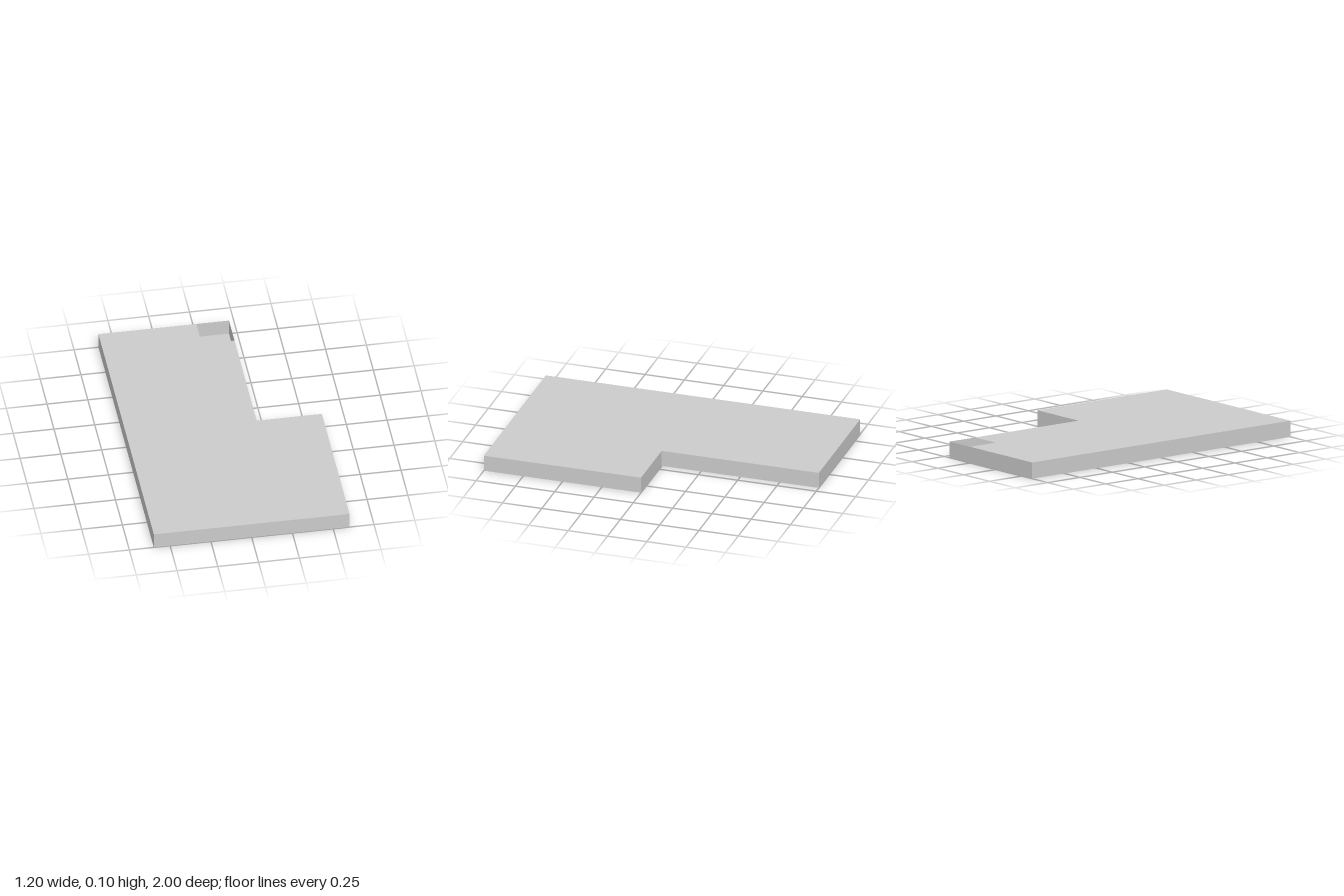
import * as THREE from 'three';

const HEIGHT = 0.1;

// Corners as [x, z], counter-clockwise seen from above
const OUTLINE = [[-0.6, 1], [0.6, 1], [0.6, 0], [0.2, 0], [0.2, -1], [-0.6, -1]];
const LID = [[-0.6, 1], [0.6, 1], [0.6, 0], [0.2, 0], [0.2, -0.8], [0, -0.8], [0, -1], [-0.6, -1]];

export function createModel() {
  const group = new THREE.Group();
  group.name = 'hollowSlab';
  const material = new THREE.MeshStandardMaterial({
    color: 0xcccccc, flatShading: true, side: THREE.DoubleSide,
  });

  const add = (name, geometry) => {
    const mesh = new THREE.Mesh(geometry, material);
    mesh.name = name;
    group.add(mesh);
    return mesh;
  };

  // Flat sheet facing up (facing = 1) or down (facing = -1)
  const sheet = (corners, facing) => {
    const shape = new THREE.Shape(corners.map(([x, z]) => new THREE.Vector2(x, -facing * z)));
    return new THREE.ShapeGeometry(shape).rotateX(-facing * Math.PI / 2);
  };

  // Floor, and lid with the square corner opening
  add('floor', sheet(OUTLINE, -1));
  add('lid', sheet(LID, 1)).position.y = HEIGHT;

  // Thin walls along the outline
  OUTLINE.forEach(([x, z], i) => {
    const [nx, nz] = OUTLINE[(i + 1) % OUTLINE.length];
    const dx = nx - x, dz = nz - z;
    const wall = add(`wall${i + 1}`, new THREE.PlaneGeometry(Math.hypot(dx, dz), HEIGHT));
    wall.position.set((x + nx) / 2, HEIGHT / 2, (z + nz) / 2);
    wall.rotation.y = Math.atan2(-dz, dx);
  });

  return group;
}
